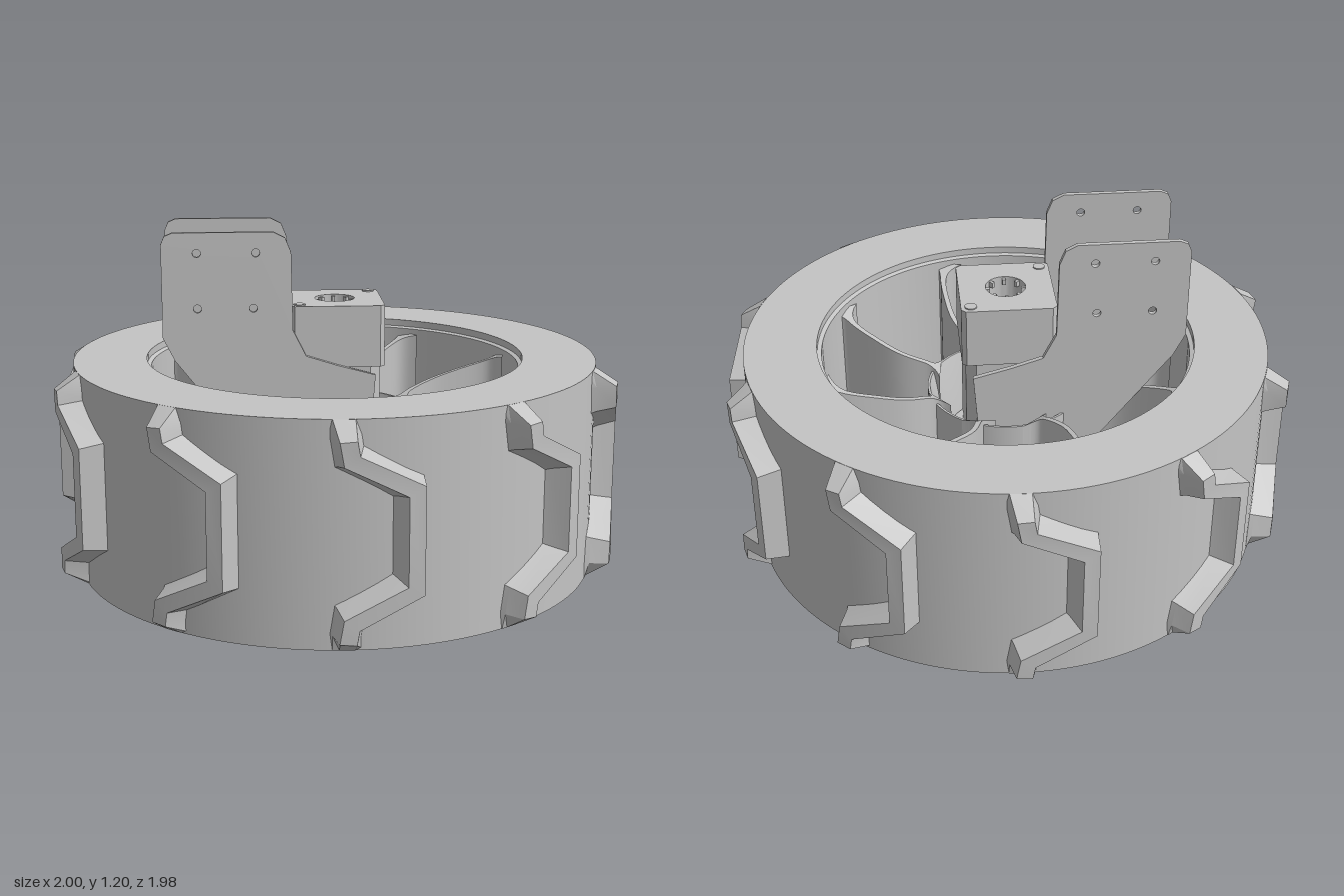
import * as THREE from 'three';
import { toCreasedNormals } from 'three/addons/utils/BufferGeometryUtils.js';

const grey = new THREE.MeshStandardMaterial({ color: 0xc4c4c4 });
grey.name = 'plain grey';

function add(parent, name, geometry, x = 0, y = 0, z = 0) {
  const mesh = new THREE.Mesh(geometry, grey);
  mesh.name = name;
  mesh.position.set(x, y, z);
  parent.add(mesh);
  return mesh;
}

const points = (list) => list.map(([x, y]) => new THREE.Vector2(x, y));
const lathe = (list, n = 96) => toCreasedNormals(new THREE.LatheGeometry(points(list), n), 0.5);

function circleHole(x, y, r) {
  return new THREE.Path().absarc(x, y, r, 0, Math.PI * 2, true);
}

// Flat outline raised from y = 0 to the given height
function slab(shape, height) {
  const g = new THREE.ExtrudeGeometry(shape, { depth: height, bevelEnabled: false, curveSegments: 32 });
  return toCreasedNormals(g.rotateX(-Math.PI / 2), 0.5);
}

// Square outline with cut corners
function cutSquare(h, c) {
  return new THREE.Shape(points([[-h + c, -h], [h - c, -h], [h, -h + c], [h, h - c],
    [h - c, h], [-h + c, h], [-h, h - c], [-h, -h + c]]));
}

// Skin over a row of equal cross-sections
function loft(sections, closed, crease) {
  const pos = [];
  const n = sections[0].length;
  for (let i = 0; i < sections.length - 1; i++) {
    for (let j = 0; j < (closed ? n : n - 1); j++) {
      const k = (j + 1) % n;
      const [a, b, c, d] = [sections[i][j], sections[i + 1][j], sections[i + 1][k], sections[i][k]];
      for (const p of [a, b, c, a, c, d]) pos.push(...p);
    }
  }
  const g = new THREE.BufferGeometry();
  g.setAttribute('position', new THREE.Float32BufferAttribute(pos, 3));
  return toCreasedNormals(g, crease);
}

// Tread lug: a ridge following a bracket-shaped path wrapped round the tyre
function lugGeometry() {
  const path = points([[-0.37, 0.74], [-0.37, 0.69], [-0.36, 0.63], [-0.17, 0.53],
    [-0.17, 0.21], [-0.36, 0.11], [-0.37, 0.05], [-0.37, 0]]);
  const last = path.length - 1;
  const sections = path.map((p, i) => {
    const t0 = p.clone().sub(path[Math.max(i - 1, 0)]).normalize();
    const t1 = path[Math.min(i + 1, last)].clone().sub(p).normalize();
    const n0 = new THREE.Vector2(-t0.y, t0.x);
    const n1 = new THREE.Vector2(-t1.y, t1.x);
    if (i === 0) n0.copy(n1);
    if (i === last) n1.copy(n0);
    const m = n0.clone().add(n1).normalize();
    m.divideScalar(m.dot(n1));
    const crest = i === 0 || i === last ? 0.921 : 1;
    return [[-0.07, 0.9], [-0.05, 0.935], [-0.028, crest], [0.022, crest], [0.046, 0.9]].map(([o, r]) => {
      const angle = (p.x + m.x * o) / 0.95;
      const y = THREE.MathUtils.clamp(p.y + m.y * o, 0, 0.74);
      const radius = Math.min(r, crest);
      return [Math.sin(angle) * radius, y, Math.cos(angle) * radius];
    });
  });
  return loft(sections, false, 0.3);
}

// Curved spoke, flared at both ends, its top edge falling toward the hub
function spokeGeometry() {
  const curve = new THREE.CatmullRomCurve3([[0.255, 0.01], [0.3, -0.005], [0.4, -0.02],
    [0.5, -0.005], [0.6, 0.025], [0.66, 0.065]].map(([x, z]) => new THREE.Vector3(x, 0, z)));
  const sections = [];
  for (let i = 0; i <= 24; i++) {
    const u = i / 24;
    const p = curve.getPoint(u);
    const t = curve.getTangent(u);
    const w = 0.009 + 0.05 * Math.pow(Math.abs(2 * u - 1), 7);
    const top = 0.54 + 0.15 * u;
    const [nx, nz] = [-t.z * w, t.x * w];
    sections.push([[p.x + nx, top, p.z + nz], [p.x - nx, top, p.z - nz],
      [p.x - nx, 0.003, p.z - nz], [p.x + nx, 0.003, p.z + nz]]);
  }
  return loft(sections, true, 0.6);
}

// Tall side plate of the mounting bracket
function plateGeometry() {
  const s = new THREE.Shape(points([[-0.6, 1.16], [-0.6, 0.84], [-0.56, 0.76], [-0.2, 0.3],
    [0.1, 0.3], [0.13, 0.7], [0, 0.735], [-0.11, 0.77], [-0.155, 0.86], [-0.16, 1.13],
    [-0.18, 1.18], [-0.22, 1.2], [-0.56, 1.2], [-0.588, 1.188]]));
  for (const [x, y] of [[-0.48, 1.13], [-0.48, 0.94], [-0.29, 0.94], [-0.28, 1.13]]) {
    s.holes.push(circleHole(x, y, 0.014));
  }
  return new THREE.ExtrudeGeometry(s, { depth: 0.018, bevelEnabled: false, curveSegments: 8 });
}

export function createModel() {
  const model = new THREE.Group();
  model.name = 'wheelWithMotor';

  // Tyre ring with a small lip inside the top edge
  add(model, 'tyre', lathe([[0.65, 0], [0.92, 0], [0.92, 0.74], [0.665, 0.74],
    [0.665, 0.715], [0.65, 0.71], [0.65, 0]], 128));

  // Tread lugs
  const lug = lugGeometry();
  for (let i = 0; i < 10; i++) add(model, 'treadLug', lug).rotation.y = i * Math.PI / 5;

  // Spokes
  const spoke = spokeGeometry();
  for (let i = 0; i < 8; i++) add(model, 'spoke', spoke).rotation.y = i * Math.PI / 4;

  // Hub: funnel wall, drilled floor and shaft collar
  add(model, 'hubWall', lathe([[0.2, 0.03], [0.28, 0.005], [0.28, 0.54], [0.272, 0.54],
    [0.205, 0.28], [0.2, 0.03]]));
  const floor = new THREE.Shape().absarc(0, 0, 0.285, 0, Math.PI * 2);
  floor.holes.push(circleHole(0, 0, 0.07));
  for (let i = 0; i < 6; i++) {
    const a = i * Math.PI / 3 + 0.3;
    floor.holes.push(circleHole(Math.cos(a) * 0.15, Math.sin(a) * 0.15, 0.013));
  }
  add(model, 'hubFloor', slab(floor, 0.04));
  const collar = new THREE.Shape().absarc(0, 0, 0.065, 0, Math.PI * 2);
  collar.holes.push(circleHole(0, 0, 0.035));
  add(model, 'shaftCollar', slab(collar, 0.14));

  // Motor, turned relative to the wheel
  const drive = new THREE.Group();
  drive.name = 'motorAndBracket';
  drive.rotation.y = -0.365;
  model.add(drive);

  add(drive, 'motorBody', slab(cutSquare(0.15, 0.035), 0.68), 0, 0.12, 0);
  const cap = cutSquare(0.164, 0.016);
  cap.holes.push(circleHole(0, 0, 0.07));
  add(drive, 'motorCap', slab(cap, 0.215), 0, 0.725, 0);
  for (let i = 0; i < 8; i++) {
    const a = i * Math.PI / 4;
    const tooth = add(drive, 'capTooth', new THREE.BoxGeometry(0.02, 0.02, 0.012),
      Math.cos(a) * 0.064, 0.925, Math.sin(a) * 0.064);
    tooth.rotation.y = -a;
  }
  for (const s of [-1, 1]) {
    add(drive, 'capScrew', new THREE.CylinderGeometry(0.021, 0.021, 0.02, 20), s * 0.13, 0.934, -s * 0.13);
  }

  // Bracket: two side plates, a back web and a seat disc
  const plate = plateGeometry();
  add(drive, 'bracketPlate', plate, 0, 0, -0.21);
  add(drive, 'bracketPlate', plate, 0, 0, 0.165);
  add(drive, 'bracketWeb', new THREE.BoxGeometry(0.018, 0.42, 0.37), -0.168, 0.51, -0.014);
  add(drive, 'bracketSeat', new THREE.CylinderGeometry(0.21, 0.21, 0.05, 48), 0, 0.31, 0);

  return model;
}
